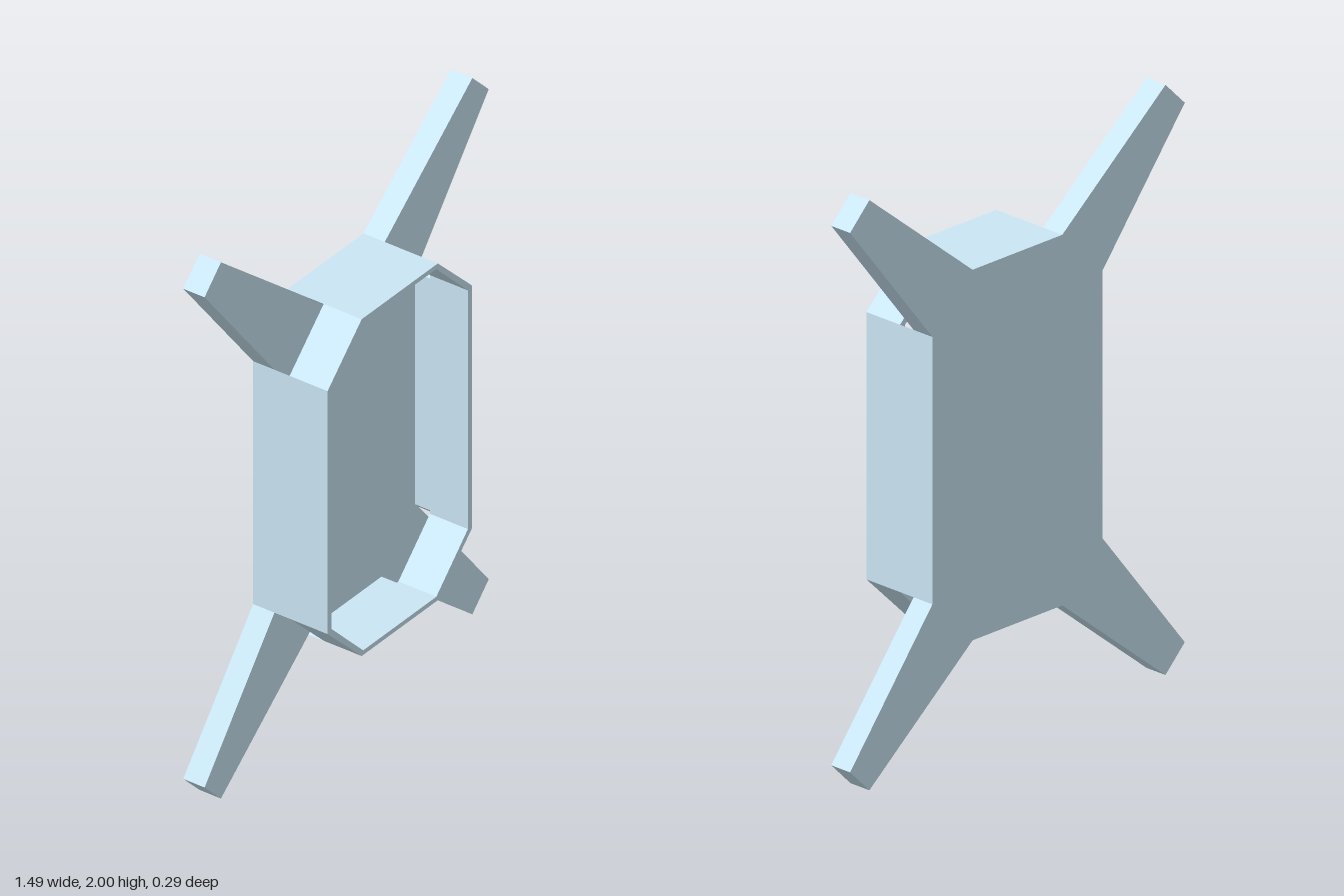
import * as THREE from 'three';

const BACK = -0.145, FLOOR = -0.062, GAP_TOP = -0.003, FRONT = 0.145;
const material = new THREE.MeshStandardMaterial({ color: 0xcae6f4, flatShading: true });

// Mirror one quadrant's points (listed from the top edge to the right side) into a closed outline
function mirrored(quadrant) {
  const rev = [...quadrant].reverse();
  return [
    ...quadrant,
    ...rev.map(([x, y]) => [x, -y]),
    ...quadrant.map(([x, y]) => [-x, -y]),
    ...rev.map(([x, y]) => [-x, y]),
  ].map(([x, y]) => new THREE.Vector2(x, y + 1));
}

function slab(name, points, z0, z1, hole) {
  const shape = new THREE.Shape(points);
  // The hole runs against the outline so its walls face inwards
  if (hole) shape.holes.push(new THREE.Path([...hole].reverse()));
  const geometry = new THREE.ExtrudeGeometry(shape, { depth: z1 - z0, bevelEnabled: false });
  geometry.translate(0, 0, z0);
  const mesh = new THREE.Mesh(geometry, material);
  mesh.name = name;
  return mesh;
}

export function createModel() {
  const group = new THREE.Group();
  group.name = 'trayWithArms';

  // Back plate with four tapered diagonal arms
  const plate = mirrored([[0.2, 0.628], [0.66, 1], [0.746, 0.914], [0.379, 0.453]]);
  group.add(slab('backPlate', plate, BACK, FLOOR));

  // Octagonal rim standing clear of the plate at its corners
  const outer = mirrored([[0.2, 0.628], [0.379, 0.453]]);
  const inner = mirrored([[0.192, 0.611], [0.358, 0.445]]);
  group.add(slab('rim', outer, GAP_TOP, FRONT, inner));

  // Straight walls joining the rim to the plate, ends cut square to the open corner slots
  const cut = mirrored([[0.183, 0.611], [0.358, 0.432]]);
  const names = ['leftWall', 'bottomWall', 'rightWall', 'topWall'];
  names.forEach((name, i) => {
    const a = 2 * i + 1, b = (a + 1) % 8;
    group.add(slab(name, [outer[a], outer[b], cut[b], cut[a]], FLOOR, GAP_TOP));
  });

  return group;
}
